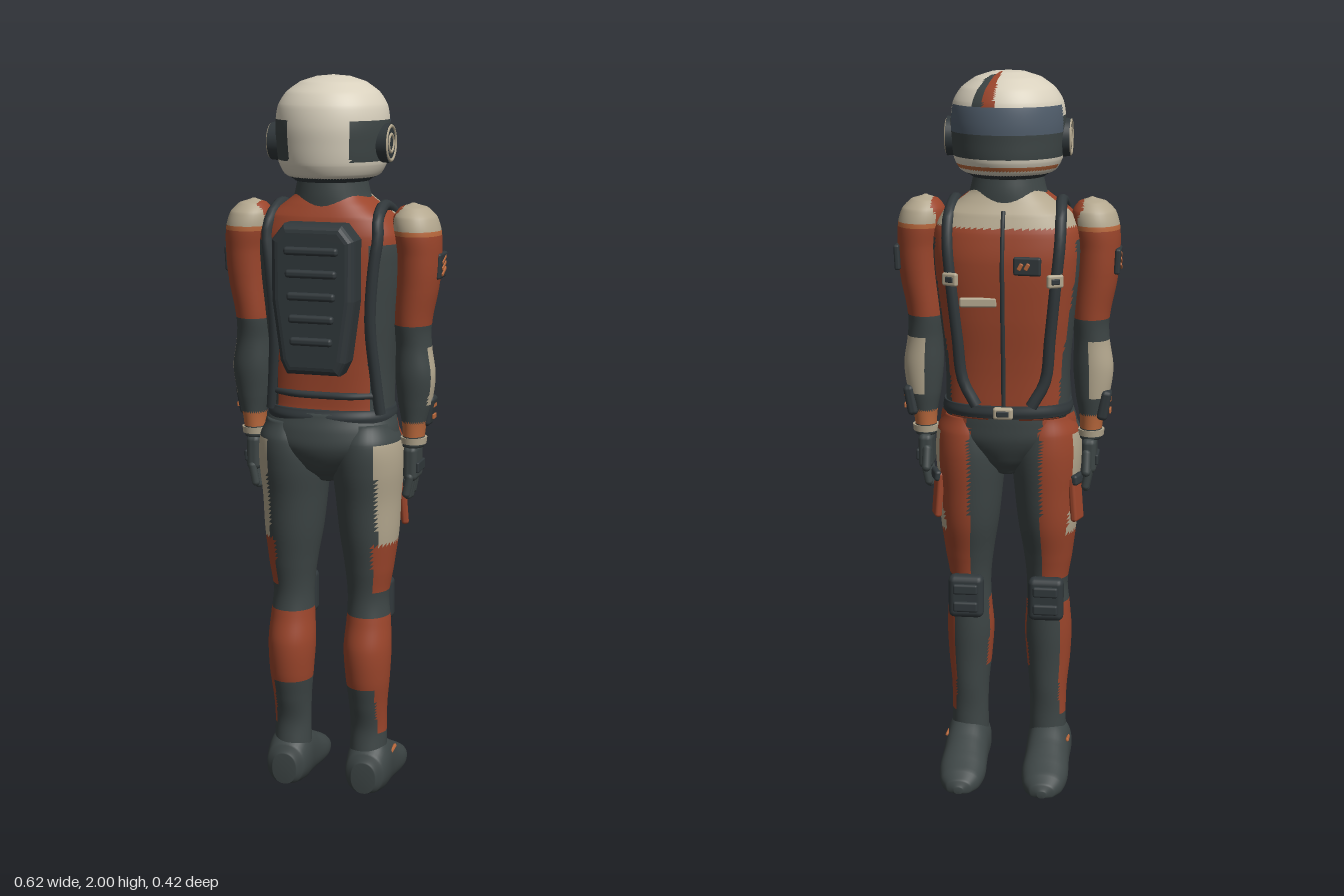
import * as THREE from 'three';
import { RoundedBoxGeometry } from 'three/addons/geometries/RoundedBoxGeometry.js';

const paint = (name, color) => {
  const m = new THREE.MeshStandardMaterial({ color });
  m.name = name;
  return m;
};
const MATS = [
  paint('helmet cream', 0xd8d0bd), paint('panel tan', 0xb3a78e), paint('suit rust', 0x9b452b),
  paint('suit charcoal', 0x3d4545), paint('gear black', 0x31383b), paint('visor blue', 0x505d6b),
  paint('trim orange', 0xb9683c),
];
const [CREAM, TAN, RUST, DARK, GEAR, VISOR, ORANGE] = [0, 1, 2, 3, 4, 5, 6];

// Smooth curve through four neighbouring values
const cubic = (a, b, c, d, t) =>
  0.5 * (2 * b + (c - a) * t + (2 * a - 5 * b + 4 * c - d) * t * t + (3 * b - a - 3 * c + d) * t * t * t);

// Skin over rings [y, cx, cz, rx, rz]; pick(x, y, z) chooses the colour of each face
function loft(name, rings, pick, { segs = 40, steps = 6, power = 1, flat = false } = {}) {
  const rows = [], pos = [], n = rings.length;
  for (let i = 0; i < n - 1; i++) {
    const q = [rings[Math.max(i - 1, 0)], rings[i], rings[i + 1], rings[Math.min(i + 2, n - 1)]];
    for (let k = 0; k < steps + (i === n - 2 ? 1 : 0); k++) {
      const t = k / steps;
      rows.push(q[1].map((_, c) => c === 0 ? q[1][0] + (q[2][0] - q[1][0]) * t
        : cubic(q[0][c], q[1][c], q[2][c], q[3][c], t)));
    }
  }
  const pw = v => Math.sign(v) * Math.abs(v) ** power;
  for (const [y, cx, cz, rx, rz] of rows)
    for (let j = 0; j < segs; j++) {
      const a = j / segs * Math.PI * 2;
      const z = cz + rz * pw(Math.sin(a));
      pos.push(cx + rx * pw(Math.cos(a)), y, flat ? Math.max(z, 0) : z);
    }
  const last = rows.length - 1, base = rows.length * segs;
  for (const r of [rows[0], rows[last]]) pos.push(r[1], r[0], flat ? Math.max(r[2], 0) : r[2]);
  const lists = MATS.map(() => []);
  const tri = (...v) => {
    const c = [0, 1, 2].map(k => (pos[v[0] * 3 + k] + pos[v[1] * 3 + k] + pos[v[2] * 3 + k]) / 3);
    lists[pick(...c)].push(...v);
  };
  for (let j = 0; j < segs; j++) {
    const m = (j + 1) % segs;
    for (let i = 0; i < last; i++) {
      const a = i * segs + j, b = i * segs + m;
      tri(a, a + segs, b);
      tri(b, a + segs, b + segs);
    }
    tri(base, j, m);
    tri(base + 1, last * segs + m, last * segs + j);
  }
  const g = new THREE.BufferGeometry();
  g.setAttribute('position', new THREE.Float32BufferAttribute(pos, 3));
  g.setIndex(lists.flat());
  let start = 0;
  lists.forEach((l, i) => { if (l.length) g.addGroup(start, l.length, i); start += l.length; });
  g.computeVertexNormals();
  const mesh = new THREE.Mesh(g, MATS);
  mesh.name = name;
  return mesh;
}

const TORSO_POWER = 0.75;
const TORSO = [
  [1.07, 0, 0.005, 0.172, 0.115], [1.12, 0, 0.002, 0.17, 0.113], [1.22, 0, 0, 0.172, 0.118],
  [1.35, 0, -0.004, 0.185, 0.13], [1.5, 0, -0.006, 0.2, 0.138], [1.58, 0, -0.002, 0.198, 0.133],
  [1.63, 0, 0.002, 0.172, 0.12], [1.66, 0, 0.005, 0.13, 0.105], [1.69, 0, 0.005, 0.095, 0.092]];

// Point on the torso surface; dir -1 is the chest, +1 the back
function onTorso(x, y, dir, lift = 0) {
  const i = Math.max(0, TORSO.findIndex(r => r[0] >= y) - 1);
  const a = TORSO[i], b = TORSO[i + 1], t = (y - a[0]) / (b[0] - a[0]);
  const [, , cz, rx, rz] = a.map((v, k) => v + (b[k] - v) * t);
  const s = Math.max(0, 1 - Math.min(1, Math.abs(x) / rx) ** (2 / TORSO_POWER));
  return new THREE.Vector3(x, y, cz + dir * (rz * s ** (TORSO_POWER / 2) + lift));
}

export function createModel() {
  const root = new THREE.Group();
  root.name = 'suitedFigure';
  const add = (name, geo, mat, x = 0, y = 0, z = 0, rx = 0, ry = 0, rz = 0) => {
    const m = new THREE.Mesh(geo, MATS[mat]);
    m.name = name;
    m.position.set(x, y, z);
    m.rotation.set(rx, ry, rz);
    root.add(m);
    return m;
  };
  const box = (name, w, h, d, mat, ...at) =>
    add(name, new RoundedBoxGeometry(w, h, d, 2, Math.min(w, h, d) * 0.4), mat, ...at);
  const tube = (name, pts, r, mat) =>
    add(name, new THREE.TubeGeometry(new THREE.CatmullRomCurve3(pts), 48, r, 10), mat);

  // Helmet with visor, side band, crown stripe and chin trim
  root.add(loft('helmet', [
    [1.722, 0, 0.008, 0.1, 0.11], [1.74, 0, 0.006, 0.13, 0.134], [1.77, 0, 0.005, 0.146, 0.148],
    [1.82, 0, 0.006, 0.152, 0.153], [1.87, 0, 0.006, 0.154, 0.155], [1.92, 0, 0.005, 0.147, 0.147],
    [1.955, 0, 0.004, 0.125, 0.126], [1.982, 0, 0.003, 0.088, 0.09], [1.996, 0, 0.002, 0.045, 0.046],
    [2, 0, 0.002, 0.003, 0.003]], (x, y, z) => {
    if (y < 1.734) return GEAR;
    if (z < -0.02 && y > 1.747 && y < 1.757) return ORANGE;
    if (z < -0.03 && y > 1.84 && y < 1.912) return VISOR;
    if (y > 1.775 && y < 1.885 && (z < 0 || Math.abs(x) > 0.085)) return DARK;
    const d = -0.02 - z;
    if (y > 1.912 && d > 0 && x > 0.01 + d * 0.1 && x < 0.015 + d * 0.34) return RUST;
    if (y > 1.912 && d > 0.03 && x >= 0.015 + d * 0.34 && x < 0.02 + d * 0.62) return DARK;
    return CREAM;
  }, { segs: 96, steps: 7 }));
  for (const s of [-1, 1]) {
    // Ear discs
    const turn = [0, 0, Math.PI / 2];
    add('earDisc', new THREE.CylinderGeometry(0.05, 0.053, 0.03, 32), GEAR, s * 0.151, 1.823, 0.02, ...turn);
    add('earRing', new THREE.TorusGeometry(0.045, 0.005, 8, 32), TAN, s * 0.165, 1.823, 0.02, 0, Math.PI / 2);
    add('earHub', new THREE.TorusGeometry(0.023, 0.005, 8, 24), TAN, s * 0.165, 1.823, 0.02, 0, Math.PI / 2);
  }
  root.add(loft('neck', [[1.65, 0, 0.005, 0.115, 0.105], [1.69, 0, 0.006, 0.102, 0.105],
    [1.74, 0, 0.008, 0.092, 0.1]], () => DARK));

  // Torso and pelvis
  root.add(loft('torso', TORSO, (x, y, z) => {
    if (y > 1.595 && z < -0.02) return TAN;
    if (y < 1.56 && Math.abs(x) > 0.13 && z > -0.07) return DARK;
    return RUST;
  }, { segs: 72, steps: 8, power: TORSO_POWER }));
  root.add(loft('pelvis', [
    [0.9, 0, 0.01, 0.035, 0.06], [0.94, 0, 0.018, 0.1, 0.1], [1, 0, 0.02, 0.185, 0.127],
    [1.05, 0, 0.016, 0.19, 0.128], [1.1, 0, 0.008, 0.177, 0.12]], (x, y, z) => {
    const w = Math.abs(x);
    if (y < 1.02 && w > 0.165 && z > -0.05) return TAN;
    return z < 0 && y < 1.075 && w > 0.05 + (y - 0.92) * 0.4 ? RUST : DARK;
  }, { segs: 64 }));
  root.add(loft('belt', [[1.075, 0, 0.006, 0.178, 0.122], [1.09, 0, 0.005, 0.18, 0.125],
    [1.11, 0, 0.003, 0.176, 0.12]], () => GEAR, { segs: 64, power: 0.85 }));
  box('beltBuckle', 0.055, 0.034, 0.02, TAN, 0, 1.093, -0.125);
  box('buckleInset', 0.034, 0.016, 0.008, GEAR, 0, 1.093, -0.135);

  // Chest zip, tag and pouch
  tube('zip', [1.1, 1.2, 1.35, 1.5, 1.6, 1.64].map(y => onTorso(0, y, -1)), 0.006, GEAR);
  box('chestTag', 0.1, 0.026, 0.014, TAN, 0.065, 1.4, onTorso(0.065, 1.4, -1).z - 0.004, 0, 0.1);
  box('chestPouch', 0.075, 0.05, 0.016, GEAR, -0.067, 1.5, onTorso(-0.067, 1.5, -1).z - 0.003, 0, -0.12);
  for (const k of [-1, 0, 1])
    box('pouchMark', 0.011, 0.02, 0.006, ORANGE, -0.067 + k * 0.018, 1.5,
      onTorso(-0.067, 1.5, -1).z - 0.012 - k * 0.002, 0, -0.12, 0.5);

  // Backpack with ribs
  const pack = new THREE.Shape([[-0.06, 1.24], [0.06, 1.24], [0.07, 1.26], [0.092, 1.42], [0.092, 1.57],
    [0.07, 1.597], [-0.07, 1.597], [-0.092, 1.57], [-0.092, 1.42], [-0.07, 1.26]]
    .map(p => new THREE.Vector2(...p)));
  add('backpack', new THREE.ExtrudeGeometry(pack, { depth: 0.05, bevelThickness: 0.025, bevelSize: 0.023,
    bevelSegments: 4 }), GEAR, 0, 0, 0.123);
  for (let i = 0; i < 5; i++) box('packRib', 0.15 - i * 0.008, 0.022, 0.022, GEAR, 0, 1.55 - i * 0.06, 0.199);
  tube('backWaistStrap', [-0.15, -0.08, 0, 0.08, 0.15].map(x => onTorso(x, 1.15, 1)), 0.01, GEAR);

  for (const s of [-1, 1]) {
    // Harness straps running over the shoulder
    const run = (list, dir) => list.map(([x, y]) => onTorso(s * x, y, dir, 0.004));
    tube('shoulderStrap', [
      ...run([[0.155, 1.1], [0.145, 1.2], [0.135, 1.35], [0.145, 1.5], [0.155, 1.58], [0.15, 1.625]], 1),
      new THREE.Vector3(s * 0.145, 1.657, 0.005),
      ...run([[0.15, 1.62], [0.15, 1.56], [0.14, 1.45], [0.125, 1.3], [0.112, 1.18], [0.075, 1.11]], -1)],
    0.016, GEAR);
    const b = onTorso(s * 0.14, 1.46, -1, 0.018);
    box('strapBuckle', 0.046, 0.036, 0.016, TAN, b.x, b.y, b.z, 0, -s * 0.45);
    box('strapBuckleSlot', 0.024, 0.016, 0.008, GEAR, b.x + s * 0.002, b.y, b.z - 0.007, 0, -s * 0.45);

    // Arm from wrist to shoulder cap
    root.add(loft('arm', [
      [1, 0.23, 0, 0.029, 0.034], [1.06, 0.232, 0, 0.033, 0.038], [1.12, 0.234, 0, 0.046, 0.046],
      [1.2, 0.235, 0.003, 0.055, 0.053], [1.28, 0.23, 0.003, 0.049, 0.053], [1.34, 0.228, 0.005, 0.05, 0.06],
      [1.45, 0.24, 0.006, 0.058, 0.068], [1.53, 0.243, 0.007, 0.061, 0.073], [1.59, 0.238, 0.008, 0.064, 0.077],
      [1.63, 0.232, 0.008, 0.058, 0.067], [1.655, 0.228, 0.008, 0.037, 0.042], [1.667, 0.226, 0.008, 0.004, 0.004],
    ].map(([y, cx, ...r]) => [y, s * cx, ...r]), (x, y, z) => {
      const out = x * s;
      if (y > 1.595) return out < 0.205 && Math.abs(z) < 0.045 ? RUST : TAN;
      if (y > 1.582) return ORANGE;
      if (y > 1.34) return RUST;
      if (y > 1.28) return DARK;
      if (y > 1.12) return z < 0.025 && out > 0.225 ? TAN : DARK;
      return y < 1.072 && y > 1.03 ? ORANGE : DARK;
    }, { steps: 8 }));
    add('cuff', new THREE.CylinderGeometry(0.037, 0.035, 0.018, 24), TAN, s * 0.231, 1.018, 0);
    box('sleevePatch', 0.016, 0.07, 0.078, GEAR, s * 0.299, 1.5, -0.01, 0, 0, -s * 0.05);
    for (const k of [-1, 0, 1])
      box('patchMark', 0.006, 0.009, 0.042, ORANGE, s * 0.307, 1.5 + k * 0.016, -0.01, 0.4);
    box('wristPad', 0.03, 0.085, 0.052, GEAR, s * 0.268, 1.1, -0.018, 0, 0, -s * 0.18);
    for (const k of [-1, 1]) box('padKey', 0.006, 0.014, 0.03, ORANGE, s * 0.284, 1.1 + k * 0.016, -0.018);

    // Gloved hand
    box('palm', 0.04, 0.1, 0.084, DARK, s * 0.228, 0.955, -0.004);
    for (let i = 0; i < 4; i++)
      add('finger', new THREE.CapsuleGeometry(0.0115, 0.06 - Math.abs(i - 1.4) * 0.008, 4, 10), DARK,
        s * 0.224, 0.885 + Math.abs(i - 1.4) * 0.006, -0.036 + i * 0.023, 0, 0, -s * 0.2);
    add('thumb', new THREE.CapsuleGeometry(0.013, 0.05, 4, 10), DARK, s * 0.222, 0.94, -0.052, 0.35);
    box('knucklePlate', 0.01, 0.03, 0.07, GEAR, s * 0.249, 0.945, -0.004);

    // Leg from ankle to hip
    root.add(loft('leg', [
      [0.1, 0.113, 0.028, 0.053, 0.055], [0.18, 0.113, 0.025, 0.052, 0.05], [0.25, 0.113, 0.03, 0.054, 0.06],
      [0.33, 0.113, 0.037, 0.062, 0.07], [0.42, 0.112, 0.036, 0.067, 0.075], [0.5, 0.112, 0.026, 0.062, 0.067],
      [0.57, 0.11, 0.022, 0.058, 0.063], [0.65, 0.112, 0.02, 0.068, 0.075], [0.75, 0.11, 0.015, 0.082, 0.096],
      [0.85, 0.107, 0.014, 0.09, 0.108], [0.95, 0.107, 0.018, 0.098, 0.12], [1.02, 0.11, 0.02, 0.09, 0.118],
      [1.07, 0.11, 0.015, 0.07, 0.1]].map(([y, cx, ...r]) => [y, s * cx, ...r]), (x, y, z) => {
      const out = x * s;
      if (y > 0.73 && y < 1.02 && out > 0.155 && z > -0.05) return TAN;
      if (y > 0.59) return out > 0.1 && z < 0 || y < 0.73 && out > 0.14 ? RUST : DARK;
      if (y > 0.52) return DARK;
      if (y > 0.31) return z > 0 || out > 0.15 ? RUST : DARK;
      return y > 0.17 && out > 0.148 ? RUST : DARK;
    }, { steps: 8 }));
    box('thighPocket', 0.02, 0.13, 0.055, RUST, s * 0.193, 0.835, -0.035, 0, s * 0.35, s * 0.08);
    box('pocketFlap', 0.02, 0.03, 0.058, GEAR, s * 0.198, 0.89, -0.035, 0, s * 0.35, s * 0.08);

    // Knee guard
    box('kneePad', 0.1, 0.125, 0.045, GEAR, s * 0.113, 0.54, -0.054);
    for (const k of [-1, 1]) box('kneeRidge', 0.07, 0.03, 0.016, GEAR, s * 0.113, 0.54 + k * 0.026, -0.077);

    // Boot, lofted from heel to toe with a flat sole
    const boot = loft('boot', [
      [-0.1, 0, 0.045, 0.035, 0.045], [-0.085, 0, 0.055, 0.056, 0.062], [-0.04, 0, 0.065, 0.064, 0.085],
      [0.01, 0, 0.06, 0.063, 0.082], [0.06, 0, 0.045, 0.064, 0.068], [0.12, 0, 0.03, 0.066, 0.052],
      [0.17, 0, 0.02, 0.056, 0.038], [0.2, 0, 0.014, 0.036, 0.024], [0.21, 0, 0.01, 0.012, 0.01],
    ], () => DARK, { flat: true, power: 0.9 });
    boot.geometry.rotateX(-Math.PI / 2);
    boot.position.x = s * 0.118;
    root.add(boot);
    box('bootTab', 0.008, 0.01, 0.045, ORANGE, s * 0.175, 0.1, -0.015, 0.1, 0, s * 0.4);
  }
  return root;
}
